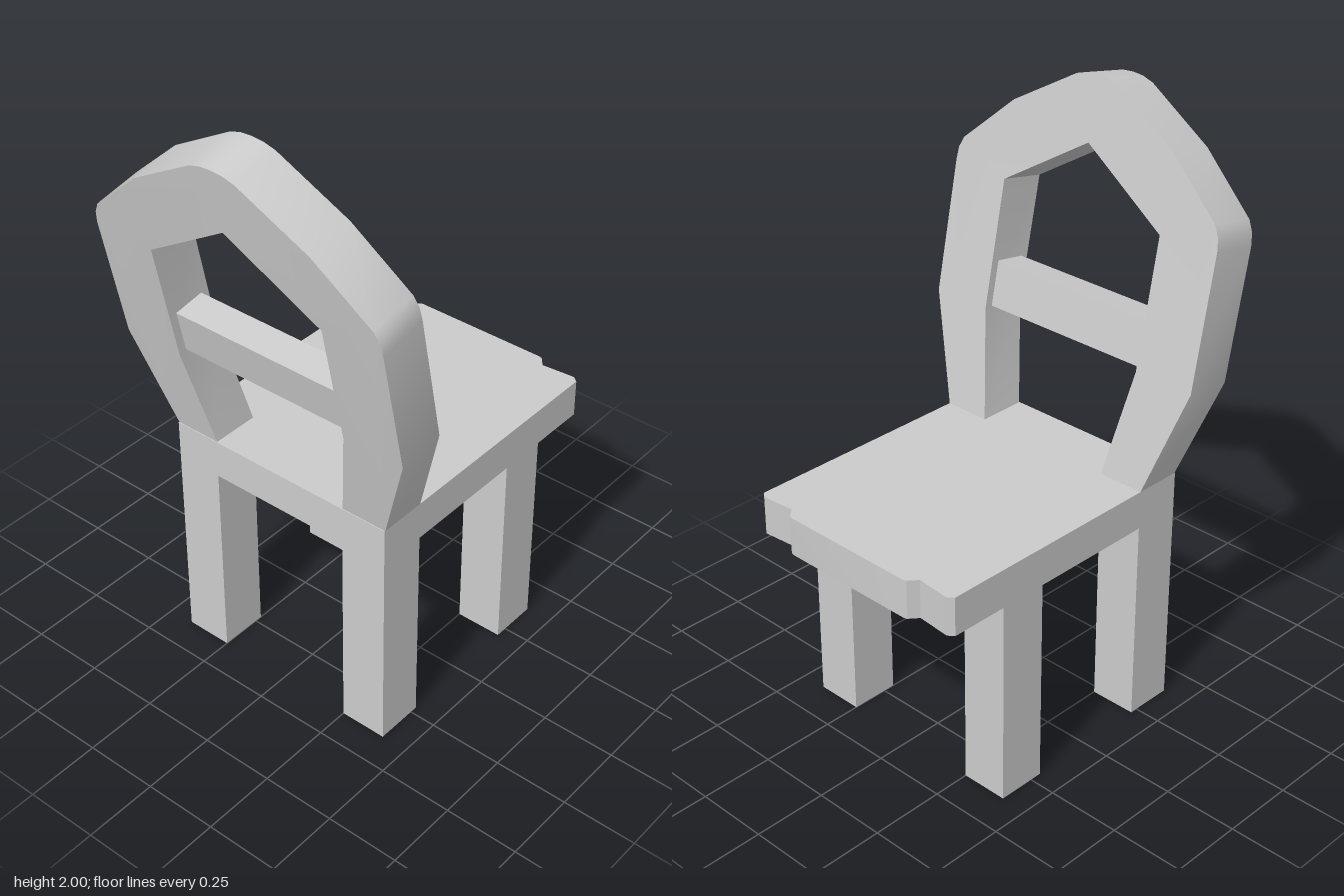
import * as THREE from 'three';
import { toCreasedNormals } from 'three/addons/utils/BufferGeometryUtils.js';

const material = new THREE.MeshStandardMaterial({ color: 0xcccccc });
const SEAT_TOP = 0.83, SEAT_BOTTOM = 0.7;
const BEND = 1.6; // height where the backrest leans a little less

// x of the backrest's front face at height y
const leanX = y => y < BEND
  ? -0.225 - 0.204 * (y - SEAT_TOP)
  : -0.382 - 0.17 * (y - BEND);

// Extrudes a (z, y) outline between two depths behind the leaning front face
function leaningPart(name, points, near, far) {
  const shape = new THREE.Shape(points.map(([z, y]) => new THREE.Vector2(z, y)));
  const geometry = new THREE.ExtrudeGeometry(shape, { depth: far - near, bevelEnabled: false });
  const p = geometry.attributes.position;
  for (let i = 0; i < p.count; i++) {
    const z = p.getX(i), y = p.getY(i), t = near + p.getZ(i);
    // the section tilts with the lean, but stays level at the seat
    const drop = 0.2 * t * Math.min(1, Math.max(0, (y - SEAT_TOP) / 0.6));
    p.setXYZ(i, leanX(y) - t, y - drop, z);
  }
  return addMesh(name, toCreasedNormals(geometry, 0.5));
}

function addMesh(name, geometry) {
  const mesh = new THREE.Mesh(geometry, material);
  mesh.name = name;
  return mesh;
}

// Completes half an outline with its mirror image, in reverse order
const mirrored = half => [
  ...half,
  ...half.filter(([a]) => a !== 0).reverse().map(([a, b]) => [-a, b]),
];

export function createModel() {
  const chair = new THREE.Group();
  chair.name = 'chair';

  // Seat slab with a stepped front edge; outline in (z, x)
  const outline = mirrored([
    [0.41, -0.39], [0.41, 0.572], [0.39, 0.587], [0.275, 0.577], [0.25, 0.607], [0.24, 0.61],
  ]);
  const seatShape = new THREE.Shape(outline.map(([z, x]) => new THREE.Vector2(x, -z)));
  const seatGeometry = new THREE.ExtrudeGeometry(seatShape, {
    depth: SEAT_TOP - SEAT_BOTTOM, bevelEnabled: false,
  });
  seatGeometry.rotateX(-Math.PI / 2).translate(0, SEAT_BOTTOM, 0);
  chair.add(addMesh('seat', toCreasedNormals(seatGeometry, 0.3)));

  // Four square legs
  for (const [label, x] of [['rear', -0.3075], ['front', 0.2925]]) {
    for (const side of [1, -1]) {
      const leg = addMesh(label + 'Leg', new THREE.BoxGeometry(0.165, SEAT_BOTTOM, 0.16));
      leg.position.set(x, SEAT_BOTTOM / 2, side * 0.33);
      chair.add(leg);
    }
  }

  // Arched backrest frame, open at the seat
  const outer = mirrored([
    [0.41, SEAT_TOP], [0.527, 1.18], [0.527, 1.61], [0.522, 1.65], [0.505, 1.685],
    [0.315, 1.85], [0.08, 1.985], [0.04, 1.997], [0, 2],
  ]);
  const inner = mirrored([[0.25, SEAT_TOP], [0.315, 1.18], [0.315, 1.6], [0, 1.795]]);
  chair.add(leaningPart('backFrame', [...outer, ...inner.reverse()], 0, 0.162));

  // Cross rail, set in from both faces of the frame
  const rail = mirrored([[0.32, 1.185], [0.32, 1.335]]);
  chair.add(leaningPart('backRail', rail, 0.028, 0.134));

  return chair;
}
